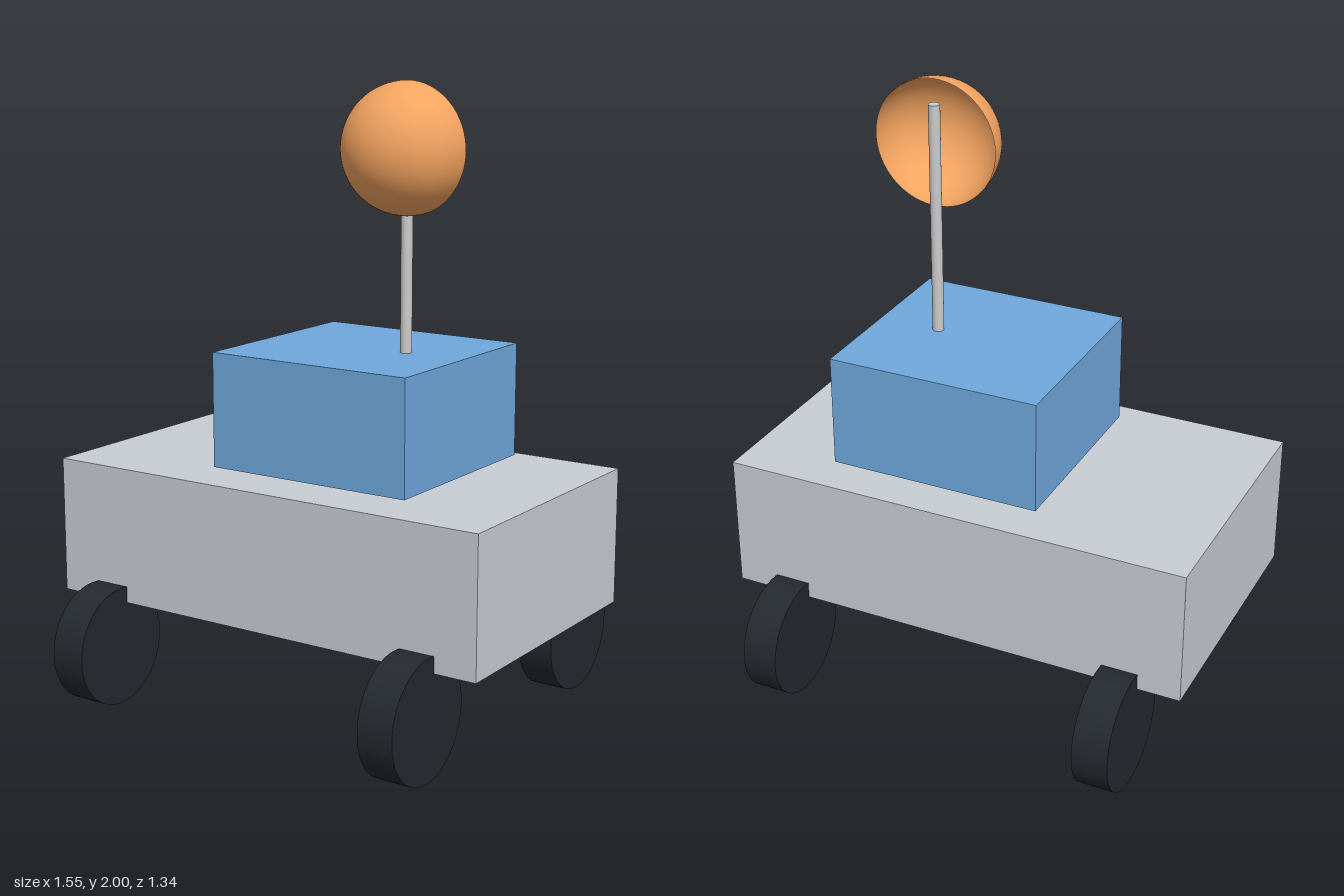
import * as THREE from 'three';

function addPart(parent, name, geometry, color, [x, y, z], side = THREE.FrontSide) {
  const mesh = new THREE.Mesh(geometry, new THREE.MeshStandardMaterial({ color, side }));
  mesh.name = name;
  mesh.position.set(x, y, z);
  parent.add(mesh);
  return mesh;
}

export function createModel() {
  const rover = new THREE.Group();
  rover.name = 'rover';

  // Chassis and the equipment box floating just above it
  addPart(rover, 'chassis', new THREE.BoxGeometry(1.555, 0.444, 0.889), 0xc8ccd4, [0, 0.553, 0]);
  addPart(rover, 'equipmentBox', new THREE.BoxGeometry(0.705, 0.367, 0.667), 0x6fa8dc, [0.11, 0.982, 0]);

  // Four wheels with their axles along x
  const wheelGeometry = new THREE.CylinderGeometry(0.193, 0.193, 0.118, 48).rotateZ(Math.PI / 2);
  for (const [sideName, sx] of [['Left', 1], ['Right', -1]]) {
    for (const [endName, sz] of [['front', 1], ['back', -1]]) {
      addPart(rover, `${endName}${sideName}Wheel`, wheelGeometry, 0x24292e, [sx * 0.578, 0.194, sz * 0.476]);
    }
  }

  // Antenna mast rising through the dish opening
  const mastBottom = 1.15, mastTop = 1.92;
  addPart(rover, 'mast', new THREE.CylinderGeometry(0.0185, 0.0185, mastTop - mastBottom, 24),
    0xcccccc, [0.256, (mastBottom + mastTop) / 2, 0]);

  // Hollow half-sphere dish, bulging forward and open at the back
  addPart(rover, 'dish', new THREE.SphereGeometry(0.205, 32, 32, 0, Math.PI),
    0xf4a460, [0.256, 1.795, 0], THREE.DoubleSide);

  return rover;
}
